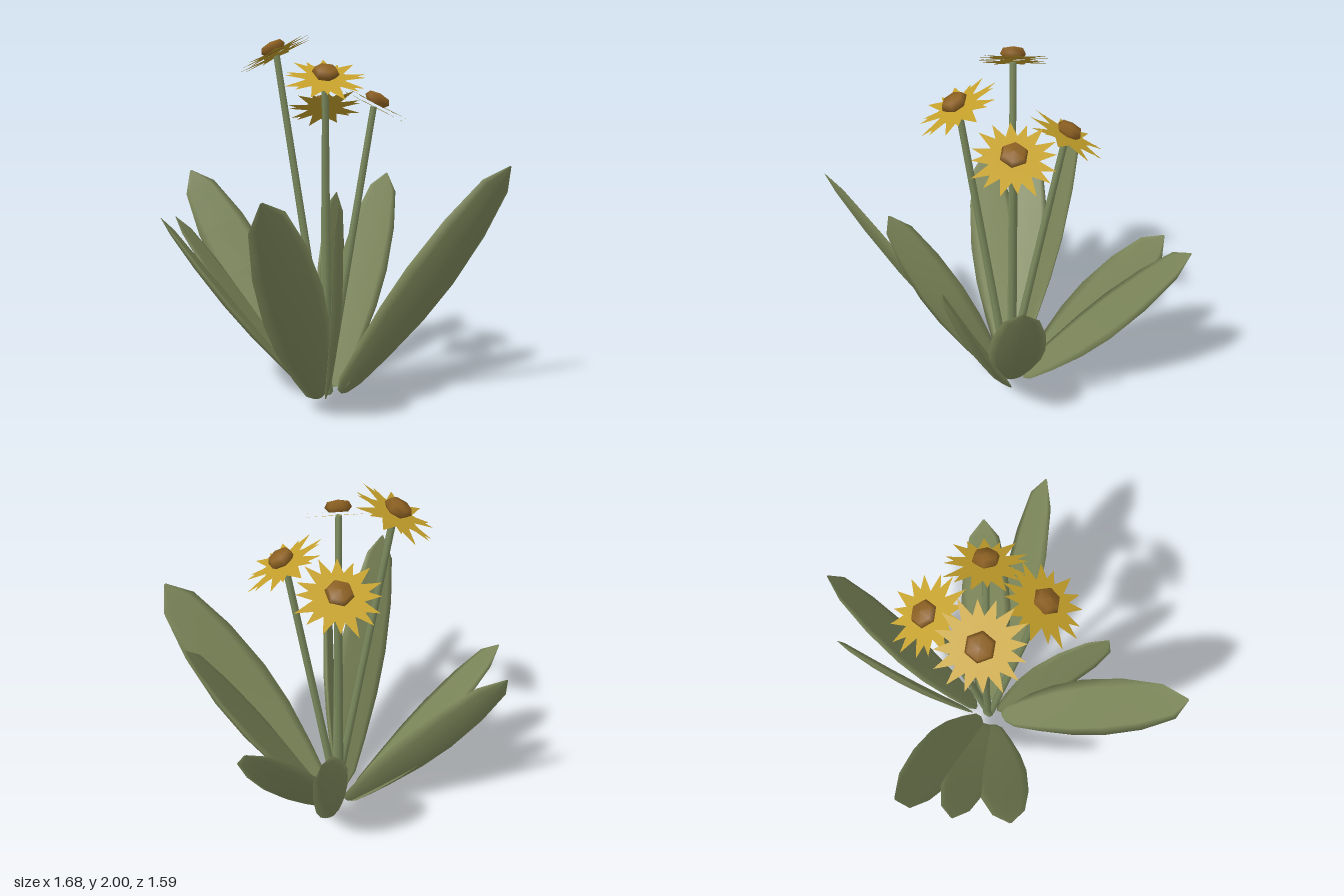
import * as THREE from 'three';

const mat = (name, color, side = THREE.FrontSide) => {
  const m = new THREE.MeshStandardMaterial({ color, side });
  m.name = name;
  return m;
};
const V = (x, y, z) => new THREE.Vector3(x, y, z);

// leaf outline: [distance along leaf, share of half width]
const OUTLINE = [[0, 0.02], [0.01, 0.22], [0.06, 0.46], [0.2, 0.7], [0.38, 0.93], [0.55, 1], [0.75, 0.87], [0.92, 0.56], [1, 0.03]];
const RING = 8;

// solid, thin lens-shaped blade from base to tip, rolled by twist degrees about its own length
function leafGeometry(base, tip, width, twist) {
  const d = tip.clone().sub(base).normalize();
  const flat = V(-d.z, 0, d.x).normalize();
  const up = flat.clone().cross(d);
  const a = THREE.MathUtils.degToRad(twist);
  const side = flat.clone().multiplyScalar(Math.cos(a)).addScaledVector(up, Math.sin(a));
  const normal = side.clone().cross(d);
  const pos = [], idx = [];
  OUTLINE.forEach(([t, w], i) => {
    const half = w * width / 2;
    for (let j = 0; j < RING; j++) {
      const b = j / RING * Math.PI * 2, u = Math.cos(b);
      const p = base.clone().lerp(tip, t)
        .addScaledVector(side, u * half)
        .addScaledVector(normal, (0.15 * Math.sin(b) + 0.12 * u * u) * half - 0.03 * Math.sin(Math.PI * t));
      pos.push(p.x, Math.max(p.y, 0), p.z);
      if (i) {
        const k = (j + 1) % RING, q = i * RING, r = q - RING;
        idx.push(r + j, q + k, r + k, r + j, q + j, q + k);
      }
    }
  });
  const g = new THREE.BufferGeometry();
  g.setAttribute('position', new THREE.Float32BufferAttribute(pos, 3));
  g.setIndex(idx);
  g.computeVertexNormals();
  return g;
}

// flat star of pointed petals lying in the xz plane
function petalGeometry(points, inner, outer, turn) {
  const s = new THREE.Shape();
  for (let i = 0; i < points * 2; i++) {
    const r = i % 2 ? inner : outer * (i % 4 ? 0.94 : 1.02);
    const a = turn + i * Math.PI / points;
    s[i ? 'lineTo' : 'moveTo'](r * Math.cos(a), r * Math.sin(a));
  }
  s.closePath();
  return new THREE.ShapeGeometry(s).rotateX(-Math.PI / 2);
}

export function createModel() {
  const model = new THREE.Group();
  const leafMat = mat('leaf green', 0x7d875a);
  const stemMat = mat('stem green', 0x7c8a5e);
  const petalMat = mat('petal yellow', 0xc4a02a, THREE.DoubleSide);
  const discMat = mat('disc brown', 0x8c6022);

  const add = (parent, name, geo, m) => {
    const mesh = new THREE.Mesh(geo, m);
    mesh.name = name;
    parent.add(mesh);
    return mesh;
  };

  // rosette of leaves: base, tip, width, twist
  const leaves = [
    [V(-0.04, 0, -0.09), V(-0.83, 1.03, -0.25), 0.3, 0],
    [V(-0.02, 0, -0.12), V(-0.70, 0.99, -0.52), 0.27, 0],
    [V(0.0, 0, -0.13), V(-0.56, 1.23, -0.75), 0.33, 50],
    [V(0.09, 0, -0.18), V(0.40, 1.05, -0.80), 0.28, -60],
    [V(0.11, 0, -0.13), V(0.73, 1.17, -0.74), 0.3, -28],
    [V(0.12, 0, -0.02), V(0.81, 1.32, 0.55), 0.36, 42],
    [V(0.12, 0, -0.05), V(0.80, 1.12, 0.18), 0.3, 0],
    [V(-0.01, 0, 0.0), V(-0.58, 1.23, 0.79), 0.35, -47],
    [V(0.02, 0, 0.0), V(-0.13, 1.17, 0.55), 0.28, -76],
  ];
  const rosette = new THREE.Group();
  rosette.name = 'leafRosette';
  model.add(rosette);
  leaves.forEach((l, i) => add(rosette, 'leaf' + (i + 1), leafGeometry(...l), leafMat));

  // flowers: centre and facing direction
  const root = V(0.05, 0, -0.07);
  const flowers = [
    [V(-0.20, 1.885, -0.17), V(-0.42, 0.9, -0.17)],
    [V(-0.055, 1.75, 0.175), V(-0.1, 0.9, 0.44)],
    [V(0.135, 1.595, -0.32), V(0.06, 0.9, -0.47)],
    [V(0.285, 1.615, 0.02), V(0.43, 0.9, 0.17)],
  ];
  const petalsLow = petalGeometry(8, 0.1, 0.222, 0.1);
  const petalsHigh = petalGeometry(8, 0.1, 0.216, 0.1 + Math.PI / 8);
  const disc = new THREE.LatheGeometry(
    [[0.05, 0], [0.071, 0.024], [0.056, 0.052], [0, 0.062]].map(p => new THREE.Vector2(...p)), 6);
  flowers.forEach(([centre, facing], i) => {
    const flower = new THREE.Group();
    flower.name = 'flower' + (i + 1);
    model.add(flower);

    // straight stem from the shared root
    const foot = root.clone().add(V(0.015 * Math.cos(i * 1.6), 0, 0.015 * Math.sin(i * 1.6)));
    const along = centre.clone().sub(foot);
    const stem = add(flower, 'stem', new THREE.CylinderGeometry(0.018, 0.025, along.length(), 7), stemMat);
    stem.position.copy(foot).addScaledVector(along, 0.5);
    stem.quaternion.setFromUnitVectors(V(0, 1, 0), along.clone().normalize());

    // two petal rings and a domed centre
    const head = new THREE.Group();
    head.name = 'flowerHead';
    head.position.copy(centre);
    head.quaternion.setFromUnitVectors(V(0, 1, 0), facing.normalize());
    flower.add(head);
    add(head, 'lowerPetals', petalsLow, petalMat);
    add(head, 'upperPetals', petalsHigh, petalMat).position.y = 0.02;
    add(head, 'centreDisc', disc, discMat).position.y = 0.016;
  });
  return model;
}
